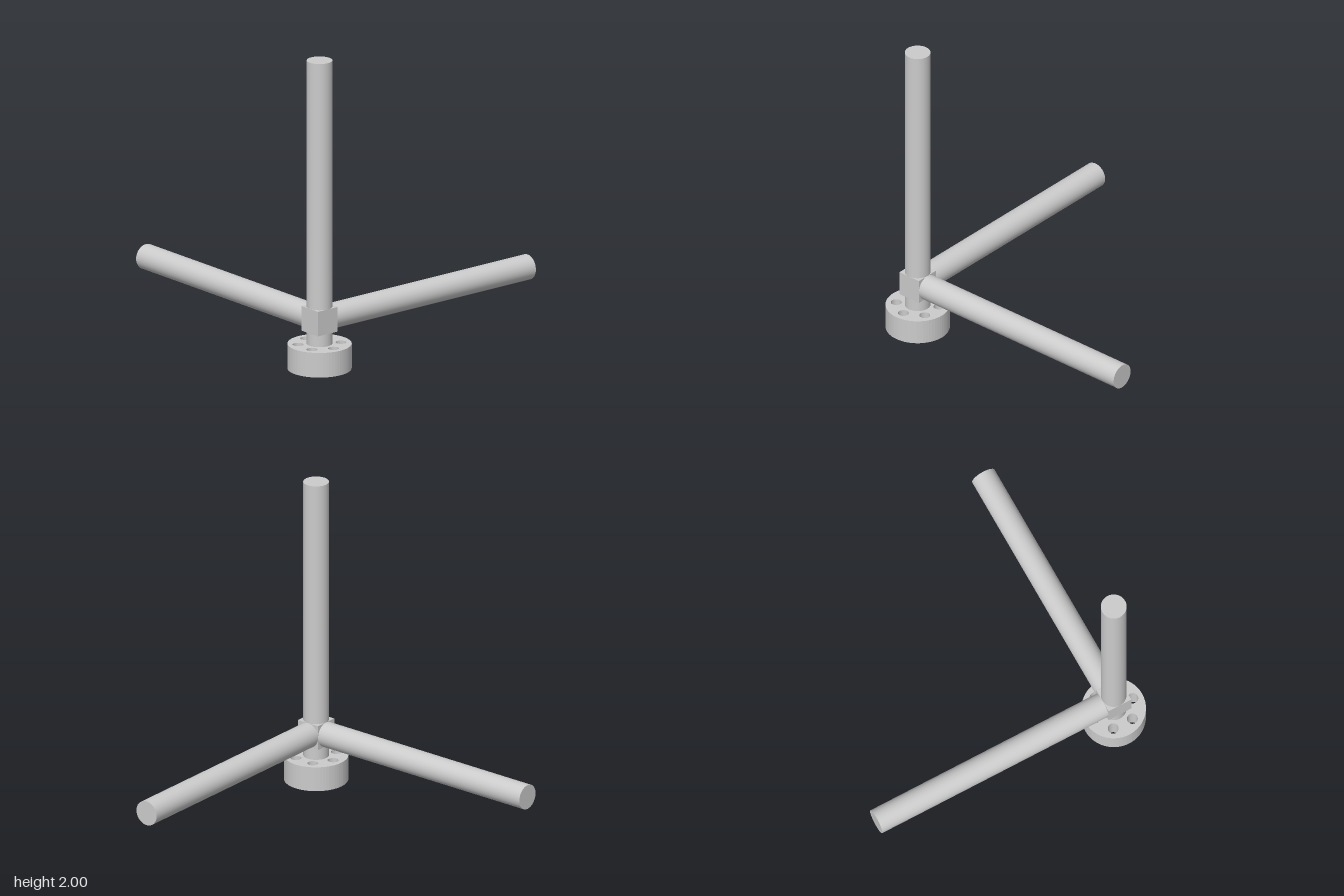
import * as THREE from 'three';

const R = 0.08;      // tube radius
const LEN = 1.6;     // tube length
const CUBE = 0.16;   // corner block size
const HUB_Y = 0.32;  // height of the corner block centre

export function createModel() {
  const model = new THREE.Group();
  const material = new THREE.MeshStandardMaterial({ color: 0xcccccc });

  function add(name, geometry, x, y, z) {
    const mesh = new THREE.Mesh(geometry, material);
    mesh.name = name;
    mesh.position.set(x, y, z);
    model.add(mesh);
    return mesh;
  }

  // Round foot with a centre bore and a ring of six through holes
  const disc = new THREE.Shape().absarc(0, 0, 0.2, 0, Math.PI * 2);
  const drill = (x, y, r) =>
    disc.holes.push(new THREE.Path().absarc(x, y, r, 0, Math.PI * 2, true));
  drill(0, 0, 0.04);
  for (let i = 0; i < 6; i++) {
    const a = Math.PI / 6 + (i * Math.PI) / 3;
    drill(0.135 * Math.cos(a), 0.135 * Math.sin(a), 0.034);
  }
  const footGeometry = new THREE.ExtrudeGeometry(disc, {
    depth: 0.16, bevelEnabled: false, curveSegments: 32,
  });
  footGeometry.rotateX(-Math.PI / 2);
  add('foot', footGeometry, 0, 0, 0);

  // Neck between the foot and the corner block
  add('neck', new THREE.CylinderGeometry(R, R, 0.08, 48), 0, 0.2, 0);

  // Corner block joining the three tubes
  add('cornerBlock', new THREE.BoxGeometry(CUBE, CUBE, CUBE), 0, HUB_Y, 0);

  // Three equal tubes: upright, to the left and to the back
  const tube = new THREE.CylinderGeometry(R, R, LEN, 48);
  const reach = CUBE / 2 + LEN / 2;
  add('upright', tube, 0, HUB_Y + reach, 0);
  add('leftArm', tube, reach, HUB_Y, 0).rotation.z = -Math.PI / 2;
  add('backArm', tube, 0, HUB_Y, -reach).rotation.x = -Math.PI / 2;

  // Centre the whole on x and z
  for (const part of model.children) {
    part.position.x -= 0.74;
    part.position.z += 0.74;
  }
  return model;
}
